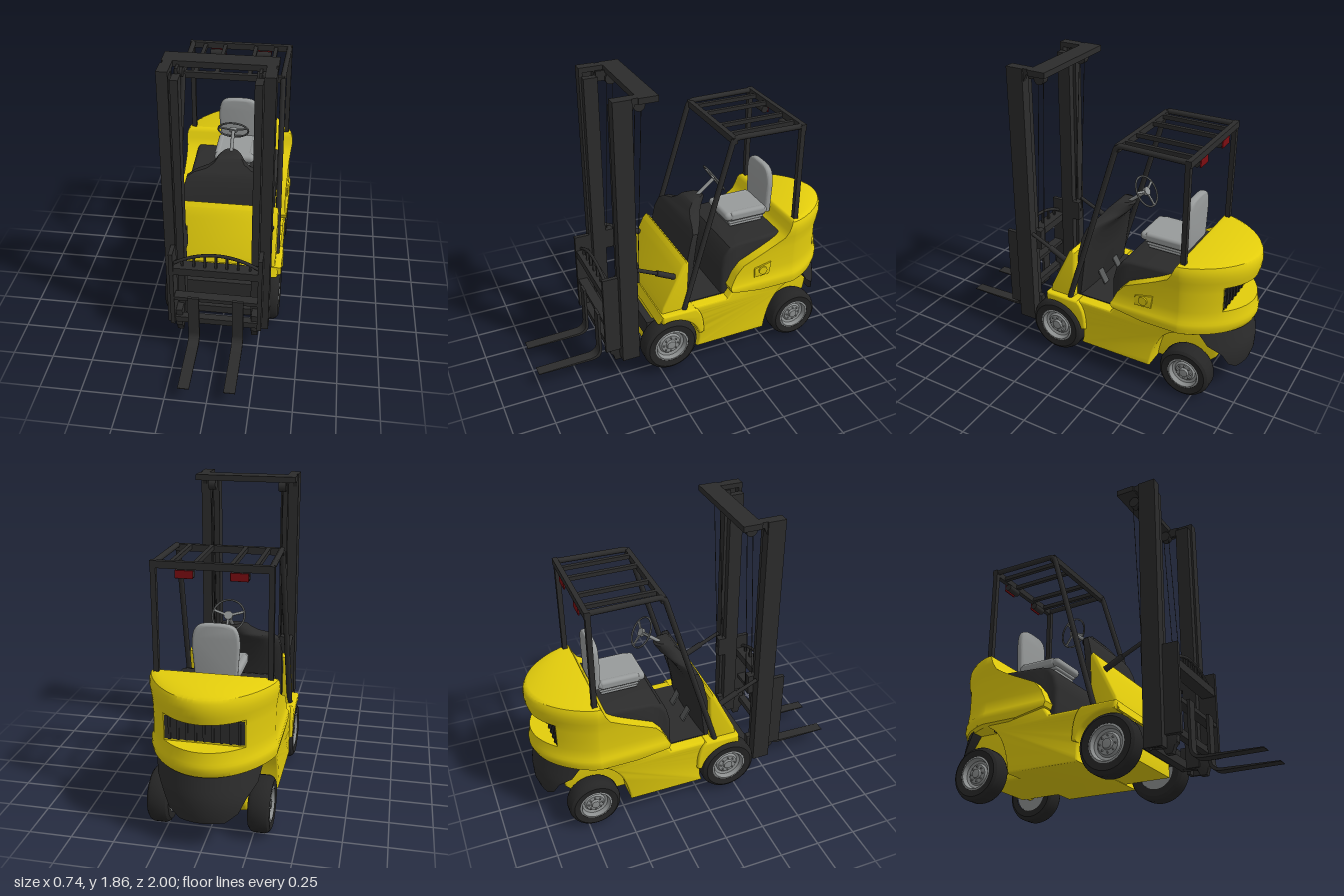
import * as THREE from 'three';
import { toCreasedNormals } from 'three/addons/utils/BufferGeometryUtils.js';
import { RoundedBoxGeometry } from 'three/addons/geometries/RoundedBoxGeometry.js';

const material = (name, color) => {
  const m = new THREE.MeshStandardMaterial({ color });
  m.name = name;
  return m;
};

export function createModel() {
  const model = new THREE.Group();
  model.name = 'forklift';
  const yellow = material('yellow paint', 0xe3cd0c);
  const black = material('black metal', 0x2c2c2c);
  const rubber = material('tyre rubber', 0x252525);
  const grey = material('grey seat', 0x989b9b);
  const rimGrey = material('rim grey', 0x8c8f8f);
  const darkGrey = material('dark grey', 0x555757);
  const red = material('red lamp', 0x7c0d12);

  const V = (x, y, z) => new THREE.Vector3(x, y, z);
  const add = (name, geo, mat, parent = model) => {
    const mesh = new THREE.Mesh(geo, mat);
    mesh.name = name;
    parent.add(mesh);
    return mesh;
  };
  const box = (name, mat, x0, x1, y0, y1, z0, z1) => {
    const m = add(name, new THREE.BoxGeometry(Math.abs(x1 - x0), y1 - y0, z1 - z0), mat);
    m.position.set((x0 + x1) / 2, (y0 + y1) / 2, (z0 + z1) / 2);
    return m;
  };
  const between = (mesh, a, b) => {
    mesh.position.copy(a).add(b).multiplyScalar(0.5);
    mesh.quaternion.setFromUnitVectors(V(0, 1, 0), b.clone().sub(a).normalize());
    return mesh;
  };
  const beam = (name, mat, a, b, w, d) =>
    between(add(name, new THREE.BoxGeometry(w, a.distanceTo(b), d), mat), a, b);
  const rod = (name, mat, a, b, r) =>
    between(add(name, new THREE.CylinderGeometry(r, r, a.distanceTo(b), 16), mat), a, b);
  const both = (fn) => [1, -1].forEach(fn);

  // Extrudes a side profile of [z, y] points across x
  const across = (name, mat, pts, half, bevel = 0, x = 0) => {
    const shape = pts instanceof THREE.Shape ? pts : new THREE.Shape(pts.map((p) => new THREE.Vector2(...p)));
    const depth = 2 * (half - bevel);
    const geo = new THREE.ExtrudeGeometry(shape, {
      depth, bevelEnabled: bevel > 0, bevelSize: bevel, bevelThickness: bevel,
      bevelOffset: -bevel, bevelSegments: 4, curveSegments: 14,
    });
    geo.translate(0, 0, -depth / 2).rotateY(-Math.PI / 2);
    const m = add(name, toCreasedNormals(geo, 0.6), mat);
    m.position.x = x;
    return m;
  };

  // Lofts plans with a bowed back; layer = [y, halfWidth, frontZ, backZ, bowStartZ, flatZ]
  const loft = (name, mat, layers) => {
    const pos = [], idx = [], S = 36, N = S + 3, K = 1.5;
    for (const [y, w, zF, zB, C = -0.65, flat = -2] of layers) {
      const d = C - zB, a0 = zF < C ? Math.asin(((C - zF) / d) ** (1 / K)) : 0;
      const ring = [];
      for (let i = 0; i <= S; i++) {
        const a = a0 + (Math.PI - 2 * a0) * i / S;
        ring.push([w * Math.cos(a), y, Math.max(C - d * Math.max(Math.sin(a), 0) ** K, flat)]);
      }
      ring.unshift([ring[0][0], y, zF]);
      ring.push([ring[S + 1][0], y, zF]);
      pos.push(...ring.flat());
    }
    const L = layers.length;
    for (let l = 0; l < L - 1; l++) for (let j = 0; j < N; j++) {
      const a = l * N + j, b = l * N + (j + 1) % N;
      idx.push(a, b, b + N, a, b + N, a + N);
    }
    for (let j = 1; j < N - 1; j++) {
      idx.push(0, j + 1, j);
      idx.push((L - 1) * N, (L - 1) * N + j, (L - 1) * N + j + 1);
    }
    const geo = new THREE.BufferGeometry();
    geo.setAttribute('position', new THREE.Float32BufferAttribute(pos, 3));
    geo.setIndex(idx);
    return add(name, toCreasedNormals(geo, 0.65), mat);
  };

  // Lower body with wheel arches, and the narrow chassis between the wheels
  const lower = new THREE.Shape();
  lower.moveTo(0.01, 0.13);
  lower.absarc(0.19, 0.2, 0.195, Math.PI + 0.38, Math.PI * 0.36, true);
  [[0.25, 0.44], [-0.2, 0.44], [-0.24, 0.5], [-0.72, 0.5], [-0.72, 0.455]].forEach((p) => lower.lineTo(...p));
  lower.bezierCurveTo(-0.58, 0.45, -0.5, 0.36, -0.47, 0.13);
  across('lowerBody', yellow, lower, 0.345, 0.015);
  across('chassis', yellow, [[0.3, 0.13], [0.3, 0.22], [0.24, 0.42], [-0.88, 0.46], [-0.85, 0.25], [-0.74, 0.13]], 0.215, 0.02);
  const fender = new THREE.Shape();
  fender.moveTo(0.252, 0.386);
  fender.lineTo(0.252, 0.441);
  fender.lineTo(0.03, 0.441);
  fender.quadraticCurveTo(-0.03, 0.4, -0.03, 0.25);
  fender.absarc(0.19, 0.2, 0.192, Math.PI - 0.2, Math.PI * 0.4, true);
  both((s) => across('frontFender', yellow, fender, 0.05, 0.012, s * 0.315));

  // Rear body and counterweight, with a notch for the vent
  const C = -0.65, F = -0.876;
  loft('counterweight', yellow, [
    [0.44, 0.34, -0.5, -0.96], [0.455, 0.36, -0.42, -0.985], [0.49, 0.366, -0.22, -1.0], [0.52, 0.364, -0.21, -1.0],
    [0.535, 0.354, -0.22, -0.995], [0.6, 0.35, -0.25, -0.985], [0.6, 0.35, -0.25, -0.985, C, F],
    [0.66, 0.35, -0.3, -0.985, C, F], [0.73, 0.352, -0.45, -0.985, C, F], [0.76, 0.354, -0.51, -0.985, C, F],
    [0.76, 0.354, -0.51, -0.985], [0.8, 0.36, -0.58, -0.995], [0.84, 0.366, -0.605, -1.0],
    [0.88, 0.364, -0.62, -0.995], [0.9, 0.355, -0.63, -0.985], [0.91, 0.335, -0.645, -0.965],
  ]);
  loft('rearBumper', black, [
    [0.17, 0.37, -0.95, -0.98], [0.22, 0.38, -0.925, -0.995], [0.3, 0.38, -0.895, -0.998],
    [0.335, 0.37, -0.86, -0.996], [0.37, 0.365, -0.82, -0.99], [0.45, 0.35, -0.77, -0.975],
  ]);
  box('ventPanel', black, -0.22, 0.22, 0.612, 0.748, -0.879, -0.872);
  for (let i = -4; i <= 4; i++) box('ventSlat', black, i * 0.048 - 0.007, i * 0.048 + 0.007, 0.612, 0.748, -0.885, -0.876);
  across('fillerPanel', yellow, [[-0.375, 0.56], [-0.375, 0.625], [-0.49, 0.65], [-0.48, 0.565]], 0.008, 0.003, 0.352);
  rod('fillerCap', yellow, V(0.35, 0.605, -0.43), V(0.37, 0.605, -0.43), 0.028);

  // Front cowl, dashboard, floor mat and engine hood
  across('frontCowl', yellow, [[0.25, 0.41], [0.235, 0.48], [0.135, 0.69], [0.105, 0.755], [0.08, 0.78], [0.06, 0.76], [0.075, 0.41]], 0.325, 0.014);
  loft('dashboard', black, [
    [0.43, 0.28, 0.1, 0.035, 0.05], [0.7, 0.283, 0.065, -0.025, 0.015], [0.85, 0.278, 0.035, -0.055, -0.005],
    [0.915, 0.262, 0.01, -0.095, -0.02], [0.945, 0.215, -0.005, -0.125, -0.035], [0.965, 0.14, -0.025, -0.145, -0.06],
    [0.995, 0.095, -0.045, -0.165, -0.08], [1.022, 0.075, -0.07, -0.18, -0.1], [1.035, 0.05, -0.1, -0.17, -0.13],
  ]);
  box('floorMat', black, -0.28, 0.28, 0.438, 0.446, -0.19, 0.05);
  across('engineHood', black, [[-0.18, 0.43], [-0.18, 0.63], [-0.2, 0.71], [-0.24, 0.765], [-0.3, 0.785], [-0.6, 0.805], [-0.64, 0.43]], 0.285, 0.025);
  both((s) => beam('pedal', darkGrey, V(s * 0.09, 0.45, -0.03), V(s * 0.09, 0.54, 0.02), 0.05, 0.01));

  // Steering wheel
  const steering = new THREE.Group();
  steering.name = 'steeringWheel';
  steering.position.set(0, 1.12, -0.255);
  steering.lookAt(0, 1.12 + 0.11, -0.255 - 0.16);
  model.add(steering);
  add('steeringRim', new THREE.TorusGeometry(0.096, 0.006, 10, 36), darkGrey, steering);
  const hub = add('steeringHub', new THREE.CylinderGeometry(0.026, 0.026, 0.018, 20), rimGrey, steering);
  hub.rotation.x = Math.PI / 2;
  [0.3, Math.PI - 0.3, Math.PI * 1.5].forEach((a) => {
    const spoke = add('steeringSpoke', new THREE.BoxGeometry(0.09, 0.014, 0.007), rimGrey, steering);
    spoke.position.set(0.05 * Math.cos(a), 0.05 * Math.sin(a), 0);
    spoke.rotation.z = a;
  });
  rod('steeringColumn', rimGrey, V(0, 1.01, -0.12), V(0, 1.12, -0.255), 0.011);

  // Seat on a bellows
  [0.805, 0.825, 0.845].forEach((y, i) => {
    const fold = add('seatBellows', new RoundedBoxGeometry(0.2 + i * 0.01, 0.02, 0.23 + i * 0.02, 3, 0.008), grey);
    fold.position.set(0, y + 0.007, -0.44);
  });
  const cushion = add('seatCushion', new RoundedBoxGeometry(0.26, 0.055, 0.3, 4, 0.025), grey);
  cushion.position.set(0, 0.885, -0.43);
  both((s) => {
    const side = add('seatBolster', new RoundedBoxGeometry(0.045, 0.06, 0.25, 4, 0.02), grey);
    side.position.set(s * 0.11, 0.885, -0.44);
  });
  const back = new THREE.Shape();
  back.moveTo(-0.12, 0);
  back.lineTo(0.12, 0);
  back.lineTo(0.135, 0.18);
  back.bezierCurveTo(0.135, 0.31, 0.1, 0.315, 0, 0.315);
  back.bezierCurveTo(-0.1, 0.315, -0.135, 0.31, -0.135, 0.18);
  const backGeo = new THREE.ExtrudeGeometry(back, {
    depth: 0.015, bevelSize: 0.015, bevelThickness: 0.015, bevelOffset: -0.015, bevelSegments: 4 });
  add('seatBack', toCreasedNormals(backGeo, 0.7), grey).position.set(0, 0.865, -0.59);

  // Overhead guard with rear lamps
  both((s) => {
    box('guardRearPost', black, s * 0.305, s * 0.335, 0.88, 1.535, -0.675, -0.645);
    const path = new THREE.CurvePath();
    const p = [V(s * 0.328, 0.42, 0.1), V(s * 0.306, 1.49, -0.21), V(s * 0.306, 1.525, -0.25), V(s * 0.316, 1.525, -0.66)];
    path.add(new THREE.LineCurve3(p[0], p[1]));
    path.add(new THREE.QuadraticBezierCurve3(p[1], V(s * 0.306, 1.525, -0.218), p[2]));
    path.add(new THREE.LineCurve3(p[2], p[3]));
    add('guardFrontPillar', new THREE.TubeGeometry(path, 60, 0.017, 10), black);
    [0.1, 0.23].forEach((x) => box('guardRoofBar', black, s * (x - 0.012), s * (x + 0.012), 1.505, 1.53, -0.66, -0.22));
    rod('lampHousing', black, V(s * 0.1, 1.472, -0.65), V(s * 0.2, 1.472, -0.65), 0.022);
    const lens = add('lampLens', new RoundedBoxGeometry(0.1, 0.046, 0.009, 3, 0.004), red);
    lens.position.set(s * 0.15, 1.472, -0.674);
  });
  box('guardRearBar', black, -0.335, 0.335, 1.5, 1.54, -0.68, -0.65);
  box('guardFrontBar', black, -0.315, 0.315, 1.49, 1.53, -0.24, -0.21);

  // Mast channels, chains and tilt cylinders
  both((s) => {
    box('mastOuterWeb', black, s * 0.295, s * 0.312, 0.15, 1.86, 0.39, 0.5);
    box('mastRearFlange', black, s * 0.25, s * 0.3, 0.15, 1.86, 0.39, 0.412);
    box('mastFrontFlange', black, s * 0.25, s * 0.3, 0.15, 1.86, 0.478, 0.5);
    box('mastCap', black, s * 0.25, s * 0.3, 1.83, 1.86, 0.35, 0.49);
    box('mastInnerChannel', black, s * 0.2, s * 0.243, 0.17, 1.81, 0.405, 0.49);
    across('mastGusset', black, [[0.4, 1.86], [0.4, 1.76], [0.37, 1.825], [0.25, 1.825], [0.25, 1.86]], 0.012, 0, s * 0.29);
    rod('chainRoller', black, V(s * 0.2, 1.79, 0.325), V(s * 0.245, 1.79, 0.325), 0.034);
    box('rollerBracket', black, s * 0.215, s * 0.23, 1.78, 1.84, 0.31, 0.41);
    rod('chain', black, V(s * 0.222, 1.79, 0.342), V(s * 0.222, 0.72, 0.392), 0.002);
    rod('chain', black, V(s * 0.222, 1.79, 0.306), V(s * 0.222, 0.72, 0.352), 0.002);
    box('chainAnchor', black, s * 0.2, s * 0.25, 0.66, 0.79, 0.355, 0.41);
    rod('tiltCylinder', black, V(s * 0.288, 0.65, 0.11), V(s * 0.288, 0.725, 0.26), 0.018);
    rod('tiltRod', black, V(s * 0.288, 0.72, 0.25), V(s * 0.288, 0.785, 0.39), 0.012);
    across('mastFoot', black, [[0.37, 0.3], [0.37, 0.17], [0.47, 0.16], [0.49, 0.12], [0.53, 0.12], [0.54, 0.16], [0.56, 0.18], [0.56, 0.3]], 0.02, 0.004, s * 0.23);
  });
  box('mastTopPlate', black, -0.312, 0.312, 1.825, 1.86, 0.24, 0.355);
  box('mastLowerRail', black, -0.25, 0.25, 0.17, 0.22, 0.36, 0.41);
  box('driveAxle', black, -0.24, 0.24, 0.21, 0.335, 0.22, 0.31);
  rod('frontAxle', black, V(-0.3, 0.2, 0.19), V(0.3, 0.2, 0.19), 0.05);
  rod('rearAxle', yellow, V(-0.28, 0.165, -0.7), V(0.28, 0.165, -0.7), 0.035);

  // Carriage, load fence and forks
  const fenceTop = (x) => 0.74 - 1.2 * x * x;
  both((s) => {
    box('carriageSidePlate', black, s * 0.25, s * 0.275, 0.22, 0.75, 0.5, 0.595);
    const fork = new THREE.Shape();
    fork.moveTo(0.588, 0.44);
    fork.lineTo(0.588, 0.16);
    fork.quadraticCurveTo(0.592, 0.1, 0.66, 0.098);
    fork.lineTo(1.0, 0.1);
    fork.lineTo(1.0, 0.105);
    fork.lineTo(0.68, 0.113);
    fork.quadraticCurveTo(0.607, 0.112, 0.605, 0.17);
    fork.lineTo(0.605, 0.44);
    across('fork', black, fork, 0.034, 0, s * 0.134);
    [0.065, 0.13, 0.2].forEach((x) =>
      box('fenceBar', black, s * (x - 0.007), s * (x + 0.007), 0.62, fenceTop(x), 0.55, 0.564));
  });
  const arc = new THREE.CatmullRomCurve3([-0.26, -0.18, -0.09, 0, 0.09, 0.18, 0.26].map((x) => V(x, fenceTop(x), 0.557)));
  add('fenceArch', new THREE.TubeGeometry(arc, 36, 0.01, 8), black);
  box('fenceCentreBar', black, -0.007, 0.007, 0.62, 0.74, 0.55, 0.564);
  box('carriageUpperBar', black, -0.26, 0.26, 0.6, 0.65, 0.51, 0.59);
  box('carriageLowerBar', black, -0.26, 0.26, 0.405, 0.43, 0.53, 0.59);
  box('carriageFootBar', black, -0.26, 0.26, 0.22, 0.26, 0.53, 0.575);

  // Wheels: tyre and dished rim turned about the axle
  const lathe = (pts) => toCreasedNormals(new THREE.LatheGeometry(pts.map((p) => new THREE.Vector2(...p)), 40).rotateZ(-Math.PI / 2), 0.5);
  const wheel = (name, s, x, y, z, r, h) => {
    const g = new THREE.Group();
    g.name = name;
    g.position.set(s * x, y, z);
    if (s < 0) g.rotation.y = Math.PI;
    model.add(g);
    const rim = r * 0.62;
    add('tyre', lathe([[rim, -h], [r * 0.85, -h], [r * 0.95, -h * 0.8], [r, -h * 0.5], [r, h * 0.5],
      [r * 0.95, h * 0.8], [r * 0.85, h], [rim, h * 0.92], [rim * 0.97, h * 0.5]]), rubber, g);
    add('rim', lathe([[0, -h * 0.9], [rim, -h * 0.9], [rim, h * 0.9], [rim * 0.9, h * 0.95], [rim * 0.8, h * 0.5], [rim * 0.65, h * 0.4],
      [rim * 0.55, h * 0.6], [rim * 0.3, h * 0.62], [rim * 0.25, h * 0.85], [0, h * 0.88]]), rimGrey, g);
    for (let i = 0; i < 8; i++) {
      const a = i * Math.PI / 4;
      const nut = add('wheelNut', new THREE.CylinderGeometry(0.005, 0.005, 0.014, 6), rimGrey, g);
      nut.rotation.z = Math.PI / 2;
      nut.position.set(h * 0.65, rim * 0.43 * Math.cos(a), rim * 0.43 * Math.sin(a));
    }
  };
  both((s) => {
    wheel('frontWheel', s, 0.302, 0.2, 0.19, 0.18, 0.06);
    wheel('rearWheel', s, 0.288, 0.163, -0.7, 0.163, 0.062);
  });
  return model;
}
